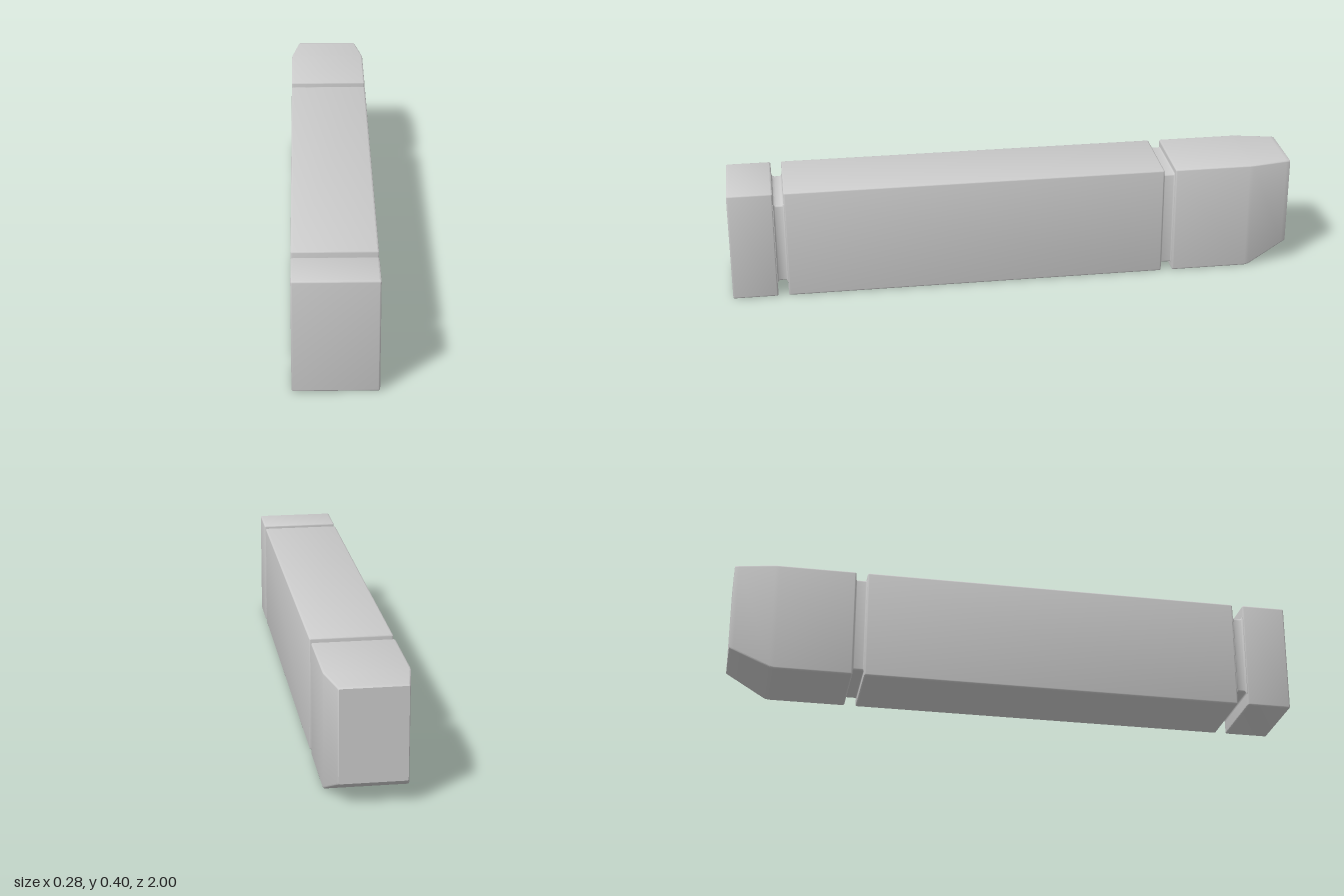
import * as THREE from 'three';
import { toCreasedNormals } from 'three/addons/utils/BufferGeometryUtils.js';

const W = 0.14, H = 0.396, R = 0.006;
const CORNER_STEPS = 3;

// Rounded rectangle outline, counterclockwise seen from the front.
function ring({ z, w, y0, y1, r }) {
  const points = [];
  const corners = [[w - r, y1 - r], [r - w, y1 - r], [r - w, y0 + r], [w - r, y0 + r]];
  corners.forEach(([cx, cy], q) => {
    for (let i = 0; i <= CORNER_STEPS; i++) {
      const a = (q + i / CORNER_STEPS) * Math.PI / 2;
      points.push([cx + r * Math.cos(a), cy + r * Math.sin(a), z]);
    }
  });
  return points;
}

// Capped skin over cross-sections listed from front to back.
function loft(sections) {
  const rings = sections.map(ring);
  const n = rings[0].length;
  const positions = rings.flat(2);
  const index = [];
  for (let s = 0; s < rings.length - 1; s++) {
    for (let i = 0; i < n; i++) {
      const a = s * n + i, b = s * n + (i + 1) % n;
      index.push(a, a + n, b, b, a + n, b + n);
    }
  }
  const last = (rings.length - 1) * n;
  for (let i = 1; i < n - 1; i++) {
    index.push(0, i, i + 1, last, last + i + 1, last + i);
  }
  const geometry = new THREE.BufferGeometry();
  geometry.setAttribute('position', new THREE.Float32BufferAttribute(positions, 3));
  geometry.setIndex(index);
  return toCreasedNormals(geometry, 0.62);
}

const section = (z, w = W, y0 = 0, y1 = H, r = R) => ({ z, w, y0, y1, r });

// Softened end edge; dir is +1 for a front end and -1 for a back end.
function softEnd(s, dir) {
  const steps = [];
  for (let i = 0; i <= 3; i++) {
    const a = i / 3 * Math.PI / 2;
    const inset = R * (1 - Math.sin(a));
    steps.push(section(s.z - dir * R * (1 - Math.cos(a)), s.w - inset,
      s.y0 + inset, s.y1 - inset, Math.max(R - inset, 0.0005)));
  }
  return dir > 0 ? steps : steps.reverse();
}

// Recessed neck whose ends flare out in small fillets.
function neck(zFront, zBack, w, y0, y1, fillet) {
  const front = [], back = [];
  for (let i = 0; i <= 4; i++) {
    const a = i / 4 * Math.PI / 2;
    const grow = fillet * (1 - Math.sin(a));
    const dz = fillet * (1 - Math.cos(a));
    front.push(section(zFront - dz, w + grow, y0 - grow, y1 + grow));
    back.unshift(section(zBack + dz, w + grow, y0 - grow, y1 + grow));
  }
  return loft([section(zFront + 0.01, w + fillet, y0 - fillet, y1 + fillet),
    ...front, ...back,
    section(zBack - 0.01, w + fillet, y0 - fillet, y1 + fillet)]);
}

export function createModel() {
  const model = new THREE.Group();
  model.name = 'segmentedBar';
  const material = new THREE.MeshStandardMaterial({ color: 0xcccccc });
  const add = (name, geometry) => {
    const mesh = new THREE.Mesh(geometry, material);
    mesh.name = name;
    model.add(mesh);
  };

  const block = (zFront, zBack) =>
    loft([...softEnd(section(zFront), 1), ...softEnd(section(zBack), -1)]);

  add('frontCap', block(1, 0.842));
  add('frontNeck', neck(0.842, 0.805, 0.128, 0.055, 0.345, 0.01));
  add('mainBody', block(0.805, -0.535));
  add('rearNeck', neck(-0.535, -0.575, 0.124, 0.025, 0.373, 0.005));

  // Rear block: sides narrow and the underside slopes up to the end face
  add('rearTip', loft([
    ...softEnd(section(-0.575), 1),
    section(-0.845),
    section(-0.86, 0.139, 0.003),
    section(-0.985, 0.1145, 0.068, 0.395),
    section(-0.997, 0.112, 0.074, 0.394),
    section(-1, 0.11, 0.077, 0.392, 0.004),
  ]));

  return model;
}
